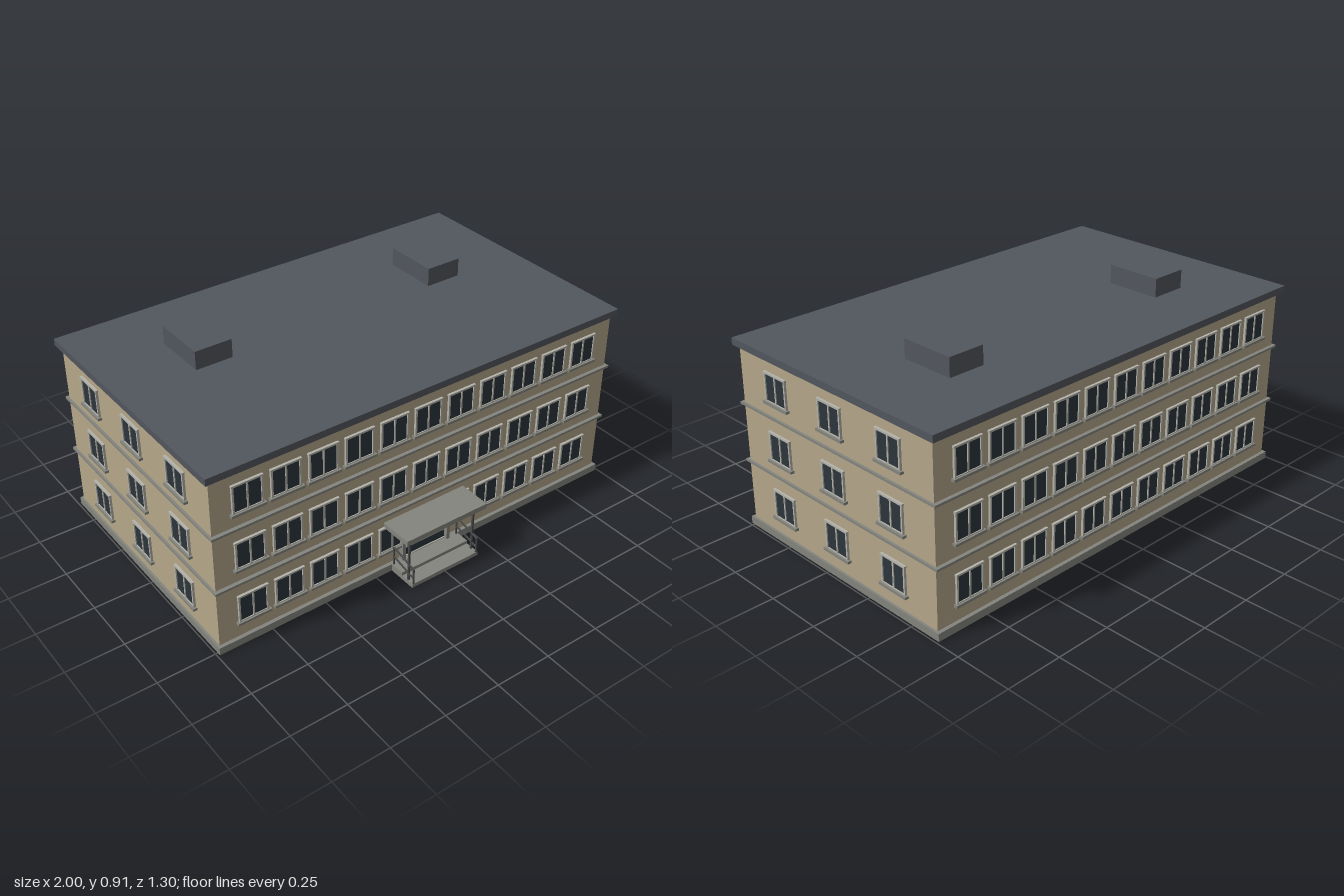
import * as THREE from 'three';

const mat = (name, color) => {
  const m = new THREE.MeshStandardMaterial({ color });
  m.name = name;
  return m;
};

export function createModel() {
  const wall = mat('tan wall', 0xb5a78a);
  const slate = mat('slate roof', 0x52565e);
  const stone = mat('grey stone', 0x85857f);
  const pale = mat('pale frame', 0xb4b3aa);
  const glass = mat('dark glass', 0x2c353c);
  const metal = mat('dark metal', 0x4a4b4b);

  const model = new THREE.Group();
  model.name = 'threeStoreyBuilding';

  // Box given by its lower and upper limits on each axis
  const box = (parent, name, m, [x0, x1], [y0, y1], [z0, z1]) => {
    const mesh = new THREE.Mesh(new THREE.BoxGeometry(x1 - x0, y1 - y0, z1 - z0), m);
    mesh.position.set((x0 + x1) / 2, (y0 + y1) / 2, (z0 + z1) / 2);
    mesh.name = name;
    parent.add(mesh);
    return mesh;
  };

  // Main block, plinth, floor bands and roof slab
  const FRONT = 0.5, BACK = -0.623, SIDE = 0.98, MID = -0.0615;
  box(model, 'walls', wall, [-SIDE, SIDE], [0.033, 0.8], [BACK, FRONT]);
  box(model, 'plinth', stone, [-0.99, 0.99], [0, 0.033], [-0.639, 0.516]);
  for (const y of [0.291, 0.546]) {
    box(model, 'floorBand', stone, [-0.99, 0.99], [y, y + 0.01], [-0.639, 0.516]);
  }
  box(model, 'roof', slate, [-1, 1], [0.8, 0.83], [-0.649, 0.521]);

  // Rooftop boxes
  for (const x of [-0.58, 0.573]) {
    box(model, 'roofVent', slate, [x - 0.083, x + 0.083], [0.83, 0.912], [-0.353, -0.105]);
  }

  // One double window, facing +z, with its origin at the bottom of the sill
  const makeWindow = () => {
    const w = new THREE.Group();
    w.name = 'window';
    box(w, 'sill', stone, [-0.075, 0.075], [0, 0.011], [0, 0.017]);
    box(w, 'glazing', glass, [-0.06, 0.06], [0.011, 0.13], [0, 0.005]);
    for (const s of [-1, 1]) {
      box(w, 'frameSide', pale, [s * 0.062 - 0.004, s * 0.062 + 0.004], [0.011, 0.135], [0, 0.01]);
    }
    box(w, 'frameTop', pale, [-0.068, 0.068], [0.127, 0.135], [0, 0.011]);
    box(w, 'frameBottom', pale, [-0.058, 0.058], [0.011, 0.015], [0, 0.009]);
    box(w, 'mullion', pale, [-0.0035, 0.0035], [0.011, 0.128], [0, 0.009]);
    return w;
  };
  const placeWindow = (x, y, z, turn) => {
    const w = makeWindow();
    w.position.set(x, y, z);
    w.rotation.y = turn;
    model.add(w);
  };

  // Windows on all four sides, with the entrance in the middle of the front
  for (let floor = 0; floor < 3; floor++) {
    const y = 0.097 + floor * 0.256;
    for (let i = -5; i <= 5; i++) {
      const x = i * 0.1652;
      if (floor > 0 || i !== 0) placeWindow(x, y, FRONT, 0);
      placeWindow(x, y, BACK, Math.PI);
    }
    for (let i = -1; i <= 1; i++) {
      const z = MID + i * 0.332;
      placeWindow(SIDE, y, z, Math.PI / 2);
      placeWindow(-SIDE, y, z, -Math.PI / 2);
    }
  }

  // Entrance door with surround and cross bars
  const entrance = new THREE.Group();
  entrance.name = 'entrance';
  model.add(entrance);
  box(entrance, 'doorGlass', glass, [-0.11, 0.11], [0.033, 0.23], [0.5, 0.508]);
  for (const s of [-1, 1]) {
    box(entrance, 'doorJamb', stone, [s * 0.116 - 0.008, s * 0.116 + 0.008], [0.033, 0.23], [0.5, 0.525]);
  }
  for (const y of [0.035, 0.08, 0.125, 0.172, 0.222]) {
    box(entrance, 'doorBar', pale, [-0.108, 0.108], [y, y + 0.005], [0.5, 0.513]);
  }

  // Canopy and steps
  box(entrance, 'canopy', stone, [-0.205, 0.205], [0.23, 0.253], [0.5, 0.649]);
  box(entrance, 'lowerStep', stone, [-0.172, 0.172], [0, 0.018], [0.51, 0.649]);
  box(entrance, 'upperStep', stone, [-0.172, 0.172], [0.018, 0.033], [0.51, 0.582]);

  // Canopy posts and sloping handrails on both sides
  const bar = (x, y0, z0, y1, z1) => {
    const mesh = new THREE.Mesh(
      new THREE.BoxGeometry(0.006, 0.006, Math.hypot(y1 - y0, z1 - z0)), metal);
    mesh.position.set(x, (y0 + y1) / 2, (z0 + z1) / 2);
    mesh.rotation.x = -Math.atan2(y1 - y0, z1 - z0);
    mesh.name = 'handrail';
    entrance.add(mesh);
  };
  for (const s of [-1, 1]) {
    const x = s * 0.165;
    box(entrance, 'canopyPost', metal, [x - 0.004, x + 0.004], [0.018, 0.23], [0.611, 0.619]);
    box(entrance, 'railPost', metal, [x - 0.003, x + 0.003], [0.018, 0.09], [0.643, 0.649]);
    box(entrance, 'railPost', metal, [x - 0.003, x + 0.003], [0.033, 0.12], [0.516, 0.522]);
    bar(x, 0.12, 0.516, 0.089, 0.648);
    bar(x, 0.074, 0.516, 0.043, 0.648);
  }

  return model;
}
